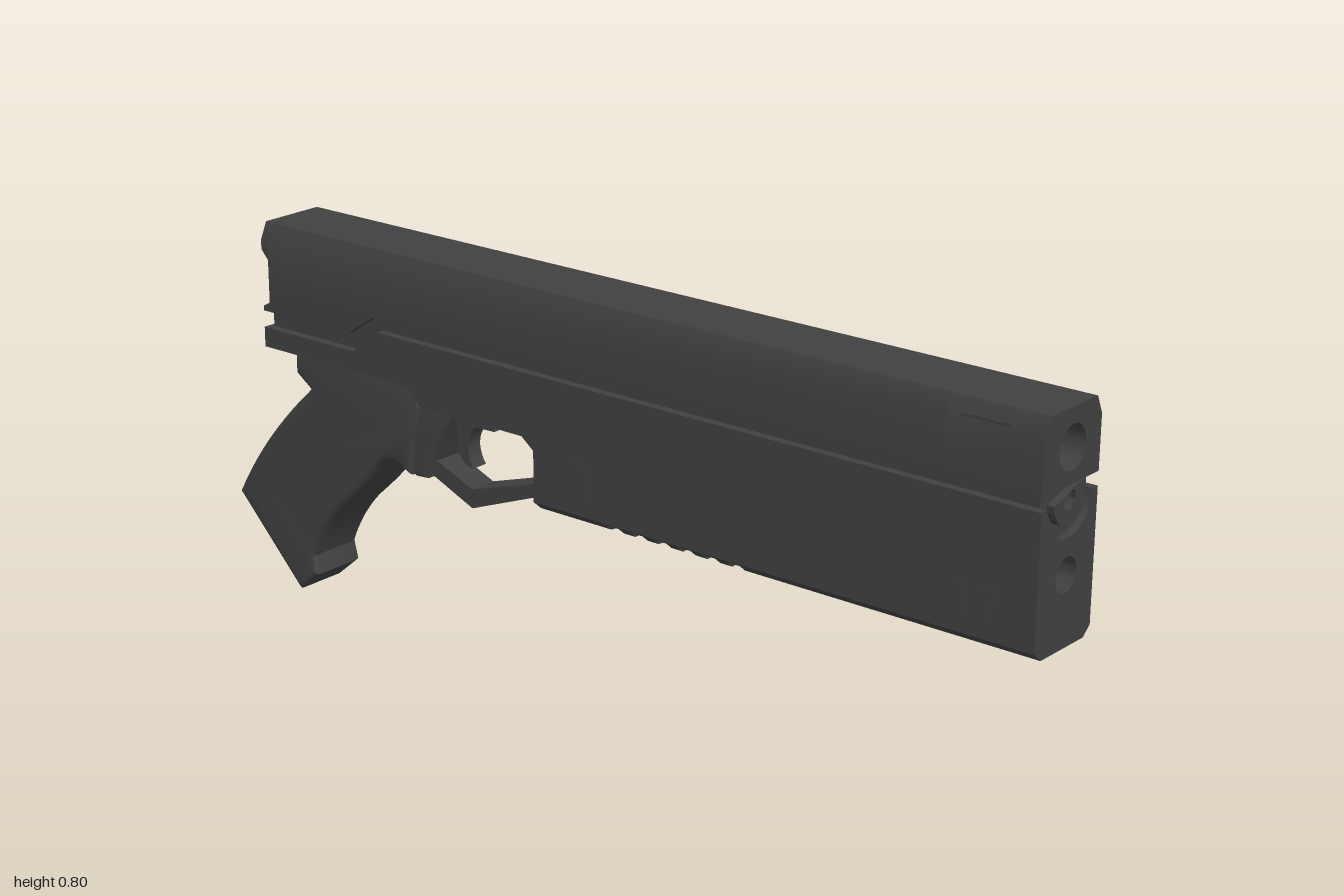
import * as THREE from 'three';
import { toCreasedNormals } from 'three/addons/utils/BufferGeometryUtils.js';

const HALF = 0.088; // half width of the body
const FRONT = 1.0;

const polygon = (pts) => new THREE.Shape(pts.map(([a, b]) => new THREE.Vector2(a, b)));
const mirrored = (pts) => polygon([...pts, ...pts.slice().reverse().map(([z, y]) => [-z, y])]);

function addHole(shape, y, r) {
  const hole = new THREE.Path();
  hole.absarc(0, y, r, 0, Math.PI * 2, true);
  shape.holes.push(hole);
  return shape;
}

export function createModel() {
  const model = new THREE.Group();
  model.name = 'toyBlaster';
  const charcoal = new THREE.MeshStandardMaterial({ color: 0x404040 });
  charcoal.name = 'charcoal';

  function add(name, geometry, parent = model) {
    const mesh = new THREE.Mesh(geometry, charcoal);
    mesh.name = name;
    parent.add(mesh);
    return mesh;
  }
  function group(name) {
    const g = new THREE.Group();
    g.name = name;
    model.add(g);
    return g;
  }
  // Cross-section (z, y) swept along x
  function sweepX(name, shape, x0, x1, parent) {
    const g = new THREE.ExtrudeGeometry(shape, { depth: x1 - x0, bevelEnabled: false, curveSegments: 24 });
    g.rotateY(Math.PI / 2).translate(x0, 0, 0);
    return add(name, toCreasedNormals(g, 0.5), parent);
  }
  // Side profile (x, y) extruded across z, with an optional inward bevel
  function sideProfile(name, shape, half, bevel = 0, parent) {
    const g = new THREE.ExtrudeGeometry(shape, {
      depth: 2 * (half - bevel), bevelEnabled: bevel > 0, bevelSize: bevel, bevelThickness: bevel,
      bevelOffset: -bevel, bevelSegments: 3, curveSegments: 10,
    });
    g.translate(0, 0, -(half - bevel));
    return add(name, toCreasedNormals(g, 0.6), parent);
  }

  // Slide: chamfered top, bored at the muzzle
  const slide = group('slide');
  const slideSection = (bottom) => mirrored([[HALF, bottom], [HALF, 0.765], [0.072, 0.8]]);
  sweepX('slideMuzzle', addHole(slideSection(0.66), 0.727, 0.042), 0.8, FRONT, slide);
  sweepX('slideBody', slideSection(0.66), -0.857, 0.8, slide);
  sweepX('slideRearLip', slideSection(0.745), -0.875, -0.857, slide);
  sideProfile('slideRearLipSlope', polygon([[-0.857, 0.725], [-0.857, 0.745], [-0.875, 0.745]]), HALF, 0, slide);
  sideProfile('slideSkirt', polygon([
    [-0.875, 0.615], [-0.634, 0.615], [-0.564, 0.66], [-0.857, 0.66], [-0.857, 0.635], [-0.875, 0.625],
  ]), HALF, 0, slide);

  // Recessed core seen in the groove between slide and frame
  sideProfile('grooveCore', polygon([
    [-0.865, 0.56], [-0.5, 0.56], [0.985, 0.6], [0.985, 0.67], [-0.865, 0.67],
  ]), 0.07);

  // Frame fore-end, with cross slots underneath
  const frame = group('frame');
  const frameSection = () => mirrored([[0.067, 0.357], [HALF, 0.375], [HALF, 0.633]]);
  const slotSection = () => mirrored([[0.08, 0.369], [HALF, 0.375], [HALF, 0.633]]);
  let x = -0.14;
  for (let i = 0; i < 6; i++) {
    const start = 0.04 + i * 0.058;
    sweepX('frameRib', frameSection(), x, start, frame);
    sweepX('frameSlot', slotSection(), start, start + 0.03, frame);
    x = start + 0.03;
  }
  sweepX('frameForeEnd', frameSection(), x, 0.93, frame);
  sweepX('frameLowerBore', addHole(frameSection(), 0.495, 0.033), 0.93, 0.985, frame);

  // Nose with a U-shaped recess and a plug inside it
  const nose = polygon([[-HALF, 0.633], [-HALF, 0.375], [-0.067, 0.357], [0.067, 0.357], [HALF, 0.375], [HALF, 0.633]]);
  const noseShape = new THREE.Shape(nose.getPoints());
  noseShape.lineTo(0.07, 0.633);
  noseShape.absarc(0, 0.633, 0.07, 0, -Math.PI, true);
  sweepX('frameNose', addHole(noseShape, 0.495, 0.033), 0.985, FRONT, frame);
  const plug = new THREE.Shape();
  plug.moveTo(-0.048, 0.66);
  plug.absarc(0, 0.633, 0.048, Math.PI, Math.PI * 2, false);
  plug.lineTo(0.048, 0.66);
  sweepX('nosePlug', addHole(plug, 0.633, 0.018), 0.985, FRONT, frame);

  // Rear of the frame above the trigger
  sideProfile('frameRear', polygon([
    [-0.875, 0.538], [-0.475, 0.538], [-0.44, 0.503], [-0.17, 0.503], [-0.14, 0.48],
    [-0.14, 0.633], [-0.553, 0.633], [-0.62, 0.58], [-0.875, 0.58],
  ]), HALF, 0, frame);

  // Grip with a swept back and a flared toe
  const grip = new THREE.Shape();
  grip.moveTo(-0.815, 0.545);
  grip.lineTo(-0.815, 0.487);
  grip.lineTo(-0.775, 0.46);
  grip.quadraticCurveTo(-0.92, 0.33, -1.0, 0.185);
  grip.lineTo(-0.826, 0.005);
  grip.lineTo(-0.773, 0.05);
  grip.lineTo(-0.783, 0.09);
  grip.quadraticCurveTo(-0.755, 0.16, -0.7, 0.215);
  grip.quadraticCurveTo(-0.62, 0.285, -0.585, 0.335);
  grip.quadraticCurveTo(-0.555, 0.365, -0.525, 0.352);
  grip.lineTo(-0.495, 0.338);
  grip.lineTo(-0.485, 0.42);
  grip.lineTo(-0.46, 0.49);
  grip.lineTo(-0.49, 0.545);
  sideProfile('grip', grip, 0.066, 0.013);

  // Collar joining grip and trigger guard
  sideProfile('gripCollar', polygon([
    [-0.51, 0.345], [-0.49, 0.335], [-0.458, 0.337], [-0.45, 0.375], [-0.435, 0.41], [-0.405, 0.48],
    [-0.4, 0.52], [-0.51, 0.52],
  ]), 0.052, 0.006);

  // Angular trigger guard
  const guard = polygon([
    [-0.47, 0.51], [-0.49, 0.44], [-0.49, 0.36], [-0.458, 0.337], [-0.355, 0.293],
    [-0.14, 0.375], [-0.135, 0.51],
  ]);
  guard.holes.push(new THREE.Path([
    [-0.405, 0.48], [-0.185, 0.48], [-0.172, 0.465], [-0.172, 0.39], [-0.355, 0.333], [-0.45, 0.372], [-0.435, 0.41],
  ].map(([a, b]) => new THREE.Vector2(a, b))));
  sideProfile('triggerGuard', guard, 0.031);

  // Hooked trigger
  const trigger = new THREE.Shape();
  trigger.moveTo(-0.405, 0.49);
  trigger.lineTo(-0.305, 0.49);
  trigger.lineTo(-0.305, 0.462);
  trigger.lineTo(-0.355, 0.46);
  trigger.quadraticCurveTo(-0.395, 0.42, -0.362, 0.372);
  trigger.quadraticCurveTo(-0.405, 0.37, -0.405, 0.43);
  sideProfile('trigger', trigger, 0.018);

  // Thin raised marks on both sides: [x, y, width, height]
  const marks = [[0.88, 0.772, 0.1, 0.006], [0.84, 0.442, 0.022, 0.065], [0.9, 0.442, 0.022, 0.065], [-0.02, 0.447, 0.032, 0.068]];
  for (const side of [1, -1]) {
    for (const [mx, my, w, h] of marks) {
      const z = my > 0.765 ? HALF - 0.003 : HALF;
      add('sidePanelMark', new THREE.BoxGeometry(w, h, 0.003)).position.set(mx, my, side * z);
    }
  }
  return model;
}
